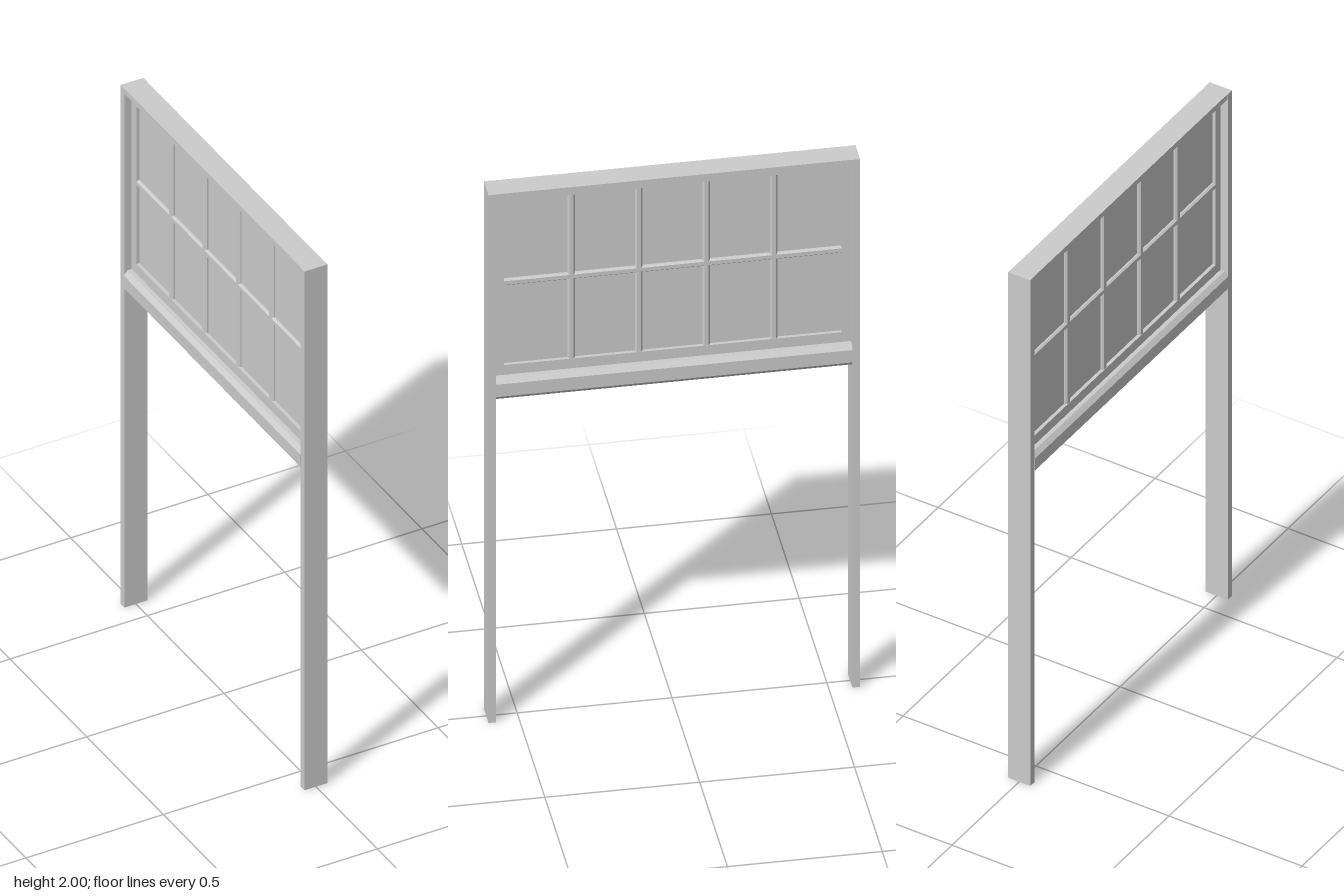
import * as THREE from 'three';

const material = new THREE.MeshStandardMaterial({ color: 0xcccccc, flatShading: true });

export function createModel() {
  const model = new THREE.Group();
  model.name = 'doorFrameWithTransomWindow';

  function add(name, geometry, x, y, z) {
    const mesh = new THREE.Mesh(geometry, material);
    mesh.name = name;
    mesh.position.set(x, y, z);
    model.add(mesh);
    return mesh;
  }

  const box = (name, w, y0, y1, z0, z1) =>
    add(name, new THREE.BoxGeometry(w, y1 - y0, z1 - z0), 0, (y0 + y1) / 2, (z0 + z1) / 2);

  // bar along z with chamfered corners: depth in x, height in y
  function chamferedBar(depth, height, length, cx, cy) {
    const a = depth / 2, b = height / 2;
    const shape = new THREE.Shape([
      [a - cx, -b], [a, -b + cy], [a, b - cy], [a - cx, b],
      [-a + cx, b], [-a, b - cy], [-a, -b + cy], [-a + cx, -b],
    ].map(([x, y]) => new THREE.Vector2(x, y)));
    return new THREE.ExtrudeGeometry(shape, { depth: length, bevelEnabled: false })
      .translate(0, 0, -length / 2);
  }

  // outer frame
  box('leftPost', 0.084, 0, 2, 0.575, 0.6);
  box('rightPost', 0.084, 0, 2, -0.6, -0.575);
  box('headJamb', 0.082, 1.98, 2, -0.575, 0.575);

  // bar between doorway and window
  add('transomBar', chamferedBar(0.088, 0.079, 1.15, 0.014, 0.016), 0, 1.257, 0);

  // window sash: a rectangular ring facing x
  const ring = new THREE.Shape([
    [-0.575, 1.29], [0.575, 1.29], [0.575, 1.98], [-0.575, 1.98],
  ].map(p => new THREE.Vector2(...p)));
  ring.holes.push(new THREE.Path([
    [-0.545, 1.333], [-0.545, 1.953], [0.545, 1.953], [0.545, 1.333],
  ].map(p => new THREE.Vector2(...p))));
  const sash = new THREE.ExtrudeGeometry(ring, { depth: 0.03, bevelEnabled: false });
  sash.translate(0, 0, -0.015).rotateY(Math.PI / 2);
  add('windowSash', sash, 0, 0, 0);

  // glass
  box('glassPane', 0.006, 1.333, 1.953, -0.545, 0.545);

  // glazing bars dividing five columns and two rows
  add('horizontalGlazingBar', chamferedBar(0.028, 0.024, 1.09, 0.006, 0.005), 0, 1.643, 0);
  for (let i = 1; i < 5; i++) {
    const bar = add('verticalGlazingBar', chamferedBar(0.028, 0.024, 0.62, 0.006, 0.005),
      0, 1.643, -0.545 + i * 0.218);
    bar.rotation.x = Math.PI / 2;
  }

  return model;
}
